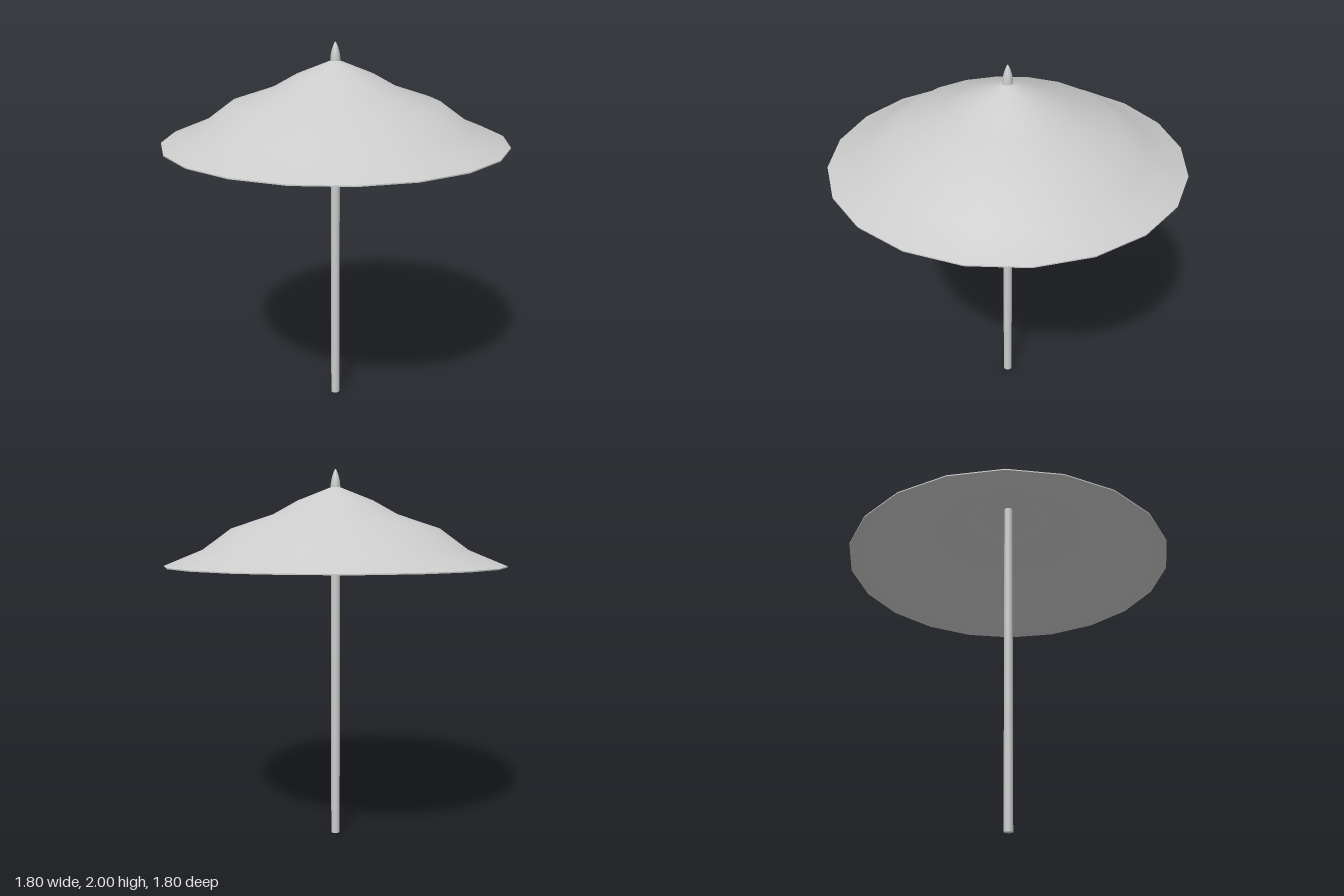
import * as THREE from 'three';

const material = new THREE.MeshStandardMaterial({ color: 0xcccccc });

function lathe(name, points, sides) {
  const profile = points.map(([r, y]) => new THREE.Vector2(r, y));
  const mesh = new THREE.Mesh(new THREE.LatheGeometry(profile, sides), material);
  mesh.name = name;
  return mesh;
}

export function createModel() {
  const group = new THREE.Group();
  group.name = 'parasol';

  // Canopy: 20-sided cloth with a thin lower face and rim, rim to apex
  const thickness = 0.006;
  const top = [[0.9, 1.5], [0.7, 1.582], [0.55, 1.692], [0.33, 1.765], [0.2, 1.837], [0.025, 1.906], [0, 1.91]];
  const under = top.map(([r, y]) => [r, y - thickness]).reverse();
  const canopy = new THREE.Group();
  canopy.name = 'canopy';
  canopy.add(
    lathe('canopyTop', top, 20),
    lathe('canopyUnderside', under, 20),
    lathe('canopyRim', [[0.9, 1.5 - thickness], [0.9, 1.5]], 20)
  );
  group.add(canopy);

  // Pole
  const poleHeight = 1.905;
  const pole = new THREE.Mesh(new THREE.CylinderGeometry(0.024, 0.024, poleHeight, 20), material);
  pole.name = 'pole';
  pole.position.y = poleHeight / 2;
  group.add(pole);

  // Pointed finial
  group.add(lathe('finial', [[0.026, 1.9], [0.025, 1.925], [0.021, 1.95], [0.013, 1.977], [0.005, 1.995], [0, 2]], 20));

  return group;
}
